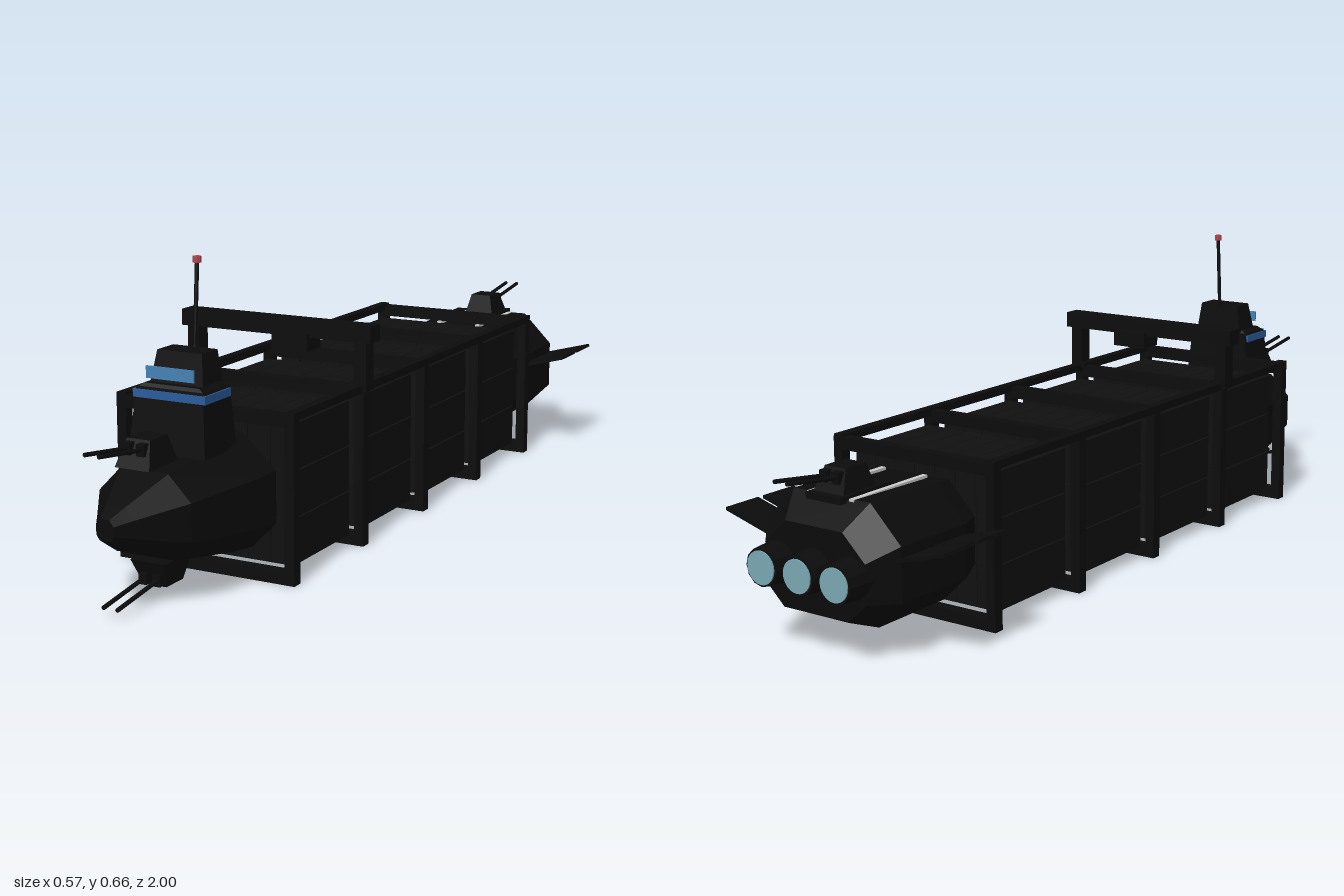
import * as THREE from 'three';

const mat = (color, side = THREE.FrontSide) => new THREE.MeshStandardMaterial({ color, flatShading: true, side });
const dark = mat(0x0c0c0c), crate = mat(0x101010), hullMat = mat(0x0b0b0b);
const blue = mat(0x2a5c9c), glass = mat(0x4682b4), red = mat(0xb04448);
const pale = mat(0xd8d8d8), glow = mat(0x7aa8b4);

function add(parent, name, geo, material, x = 0, y = 0, z = 0) {
  const m = new THREE.Mesh(geo, material);
  m.name = name;
  m.position.set(x, y, z);
  parent.add(m);
  return m;
}

const box = (parent, name, w, h, d, x, y, z, material = dark) =>
  add(parent, name, new THREE.BoxGeometry(w, h, d), material, x, y, z);

// Box standing on y = 0 whose top face is scaled and shifted along z
function taperBox(w, h, d, topW, topD, shift = 0) {
  const g = new THREE.BoxGeometry(w, h, d).translate(0, h / 2, 0);
  const p = g.attributes.position;
  for (let i = 0; i < p.count; i++) {
    if (p.getY(i) < h / 2) continue;
    p.setX(i, p.getX(i) * topW / w);
    p.setZ(i, p.getZ(i) * topD / d + shift);
  }
  g.computeVertexNormals();
  return g;
}

// Chamfered eight-sided hull through sections [z, halfWidth, bottom, top], back to front
function hull(sections, topFrac, bottomFrac) {
  const pos = [], idx = [], n = 8;
  for (const [z, w, y0, y1] of sections) {
    const lo = y0 + (y1 - y0) * 0.24, hi = y0 + (y1 - y0) * 0.7;
    const t = w * topFrac, b = w * bottomFrac;
    for (const [x, y] of [[w, lo], [w, hi], [t, y1], [-t, y1], [-w, hi], [-w, lo], [-b, y0], [b, y0]]) pos.push(x, y, z);
  }
  for (let i = 0; i < sections.length - 1; i++) {
    for (let j = 0; j < n; j++) {
      const a = i * n + j, b = i * n + (j + 1) % n;
      idx.push(a, b, b + n, a, b + n, a + n);
    }
  }
  const f = (sections.length - 1) * n;
  for (let j = 1; j < n - 1; j++) idx.push(f, f + j, f + j + 1, 0, j + 1, j);
  const g = new THREE.BufferGeometry();
  g.setAttribute('position', new THREE.Float32BufferAttribute(pos, 3));
  g.setIndex(idx);
  const flat = g.toNonIndexed();
  flat.computeVertexNormals();
  return flat;
}

// Rod between two points
function rod(parent, name, a, b, r, material = dark) {
  const from = new THREE.Vector3(...a), dir = new THREE.Vector3(...b).sub(from);
  const m = add(parent, name, new THREE.CylinderGeometry(r, r, dir.length(), 8), material);
  m.position.copy(from).addScaledVector(dir, 0.5);
  m.quaternion.setFromUnitVectors(new THREE.Vector3(0, 1, 0), dir.normalize());
}

// Twin gun turret, facing +z before it is turned
function turret(parent, name, x, y, z) {
  const g = new THREE.Group();
  g.name = name;
  g.position.set(x, y, z);
  add(g, 'turretHousing', taperBox(0.08, 0.055, 0.1, 0.054, 0.06, -0.005), dark);
  for (const s of [-1, 1]) {
    box(g, 'barrelMount', 0.018, 0.024, 0.03, s * 0.016, 0.038, 0.03);
    rod(g, 'gunBarrel', [s * 0.016, 0.037, 0.03], [s * 0.016, 0.057, 0.178], 0.0045);
  }
  parent.add(g);
  return g;
}

export function createModel() {
  const ship = new THREE.Group();
  ship.name = 'containerShip';

  // Cargo section: spine, ring frames and top rails
  box(ship, 'spine', 0.09, 0.095, 1.26, 0, 0.177, 0);
  for (let i = -2; i <= 2; i++) {
    const z = i * 0.302;
    for (const s of [-1, 1]) box(ship, 'framePost', 0.0225, 0.355, 0.025, s * 0.201, 0.1775, z);
    box(ship, 'frameTop', 0.4, 0.027, 0.0245, 0, 0.3415, z);
    box(ship, 'frameBottom', 0.4, 0.028, 0.0245, 0, 0.014, z);
  }
  for (const s of [-1, 1]) box(ship, 'topRail', 0.022, 0.017, 1.23, s * 0.202, 0.351, 0);

  // Containers in four bays, packed around the spine
  const crateGeo = new THREE.BoxGeometry(0.052, 0.097, 0.243);
  for (let bay = 0; bay < 4; bay++)
    for (let col = -3; col <= 3; col++)
      for (let row = 0; row < 3; row++) {
        if (row === 1 && Math.abs(col) < 2) continue;
        add(ship, 'container', crateGeo, crate, col * 0.0537, 0.077 + row * 0.1, -0.453 + bay * 0.302);
      }

  // Loading gantry
  for (const s of [-1, 1]) {
    box(ship, 'gantryLeg', 0.029, 0.11, 0.036, s * 0.208, 0.4, 0.305);
    box(ship, 'gantryFoot', 0.034, 0.012, 0.044, s * 0.2, 0.358, 0.305);
  }
  box(ship, 'gantryBeam', 0.47, 0.036, 0.044, 0, 0.47, 0.305);
  box(ship, 'gantryTrolley', 0.087, 0.038, 0.062, 0.0435, 0.441, 0.305);

  // Bow
  add(ship, 'bowHull', hull([
    [0.6, 0.162, 0.065, 0.305], [0.66, 0.15, 0.07, 0.295],
    [0.83, 0.107, 0.095, 0.268], [0.93, 0.042, 0.145, 0.222], [0.965, 0.02, 0.163, 0.205],
  ], 0.52, 0.65), hullMat);

  // Bridge
  add(ship, 'bridgeBase', taperBox(0.18, 0.13, 0.12, 0.156, 0.1, -0.005), dark, 0, 0.28, 0.692);
  box(ship, 'bridgeWindowBand', 0.17, 0.017, 0.096, 0, 0.397, 0.692, blue);
  add(ship, 'bridgeRoof', taperBox(0.164, 0.012, 0.095, 0.13, 0.08), dark, 0, 0.405, 0.688);
  add(ship, 'bridgeTower', taperBox(0.125, 0.068, 0.076, 0.105, 0.058, -0.005), dark, 0, 0.412, 0.674);
  box(ship, 'bridgeScreen', 0.112, 0.025, 0.004, 0, 0.441, 0.733, glass);
  rod(ship, 'antenna', [0, 0.47, 0.642], [0, 0.652, 0.628], 0.0045);
  add(ship, 'antennaLight', new THREE.CylinderGeometry(0.009, 0.009, 0.013, 10), red, 0, 0.656, 0.628);

  // Turrets: bow top, bow underside and stern top
  turret(ship, 'bowTurret', 0, 0.28, 0.822);
  turret(ship, 'keelTurret', 0, 0.081, 0.777).rotation.z = Math.PI;
  turret(ship, 'sternTurret', 0, 0.314, -0.822).rotation.y = Math.PI;

  // Stern
  add(ship, 'sternHull', hull([
    [-0.915, 0.13, 0.085, 0.265], [-0.86, 0.174, 0.065, 0.315],
    [-0.66, 0.174, 0.065, 0.31], [-0.6, 0.15, 0.08, 0.3],
  ], 0.57, 0.65), hullMat);
  box(ship, 'turretBase', 0.09, 0.014, 0.15, 0, 0.314, -0.81);
  for (const s of [-1, 1]) {
    box(ship, 'deckStripe', 0.012, 0.006, 0.225, s * 0.055, 0.313, -0.752, pale);
    // Paired stern fins, tilted upward
    for (const z of [-0.822, -0.715]) {
      const fin = box(ship, 'sternFin', 0.13, 0.007, 0.092, s * 0.221, 0.226, z);
      fin.rotation.z = s * 0.27;
    }
  }

  // Engines
  for (const x of [-0.095, 0, 0.095]) {
    const nozzle = add(ship, 'engineNozzle', new THREE.CylinderGeometry(0.047, 0.04, 0.08, 12), dark, x, 0.177, -0.924);
    nozzle.rotation.x = Math.PI / 2;
    const disc = add(ship, 'engineGlow', new THREE.CylinderGeometry(0.035, 0.035, 0.004, 24), glow, x, 0.177, -0.965);
    disc.rotation.x = Math.PI / 2;
  }
  return ship;
}
